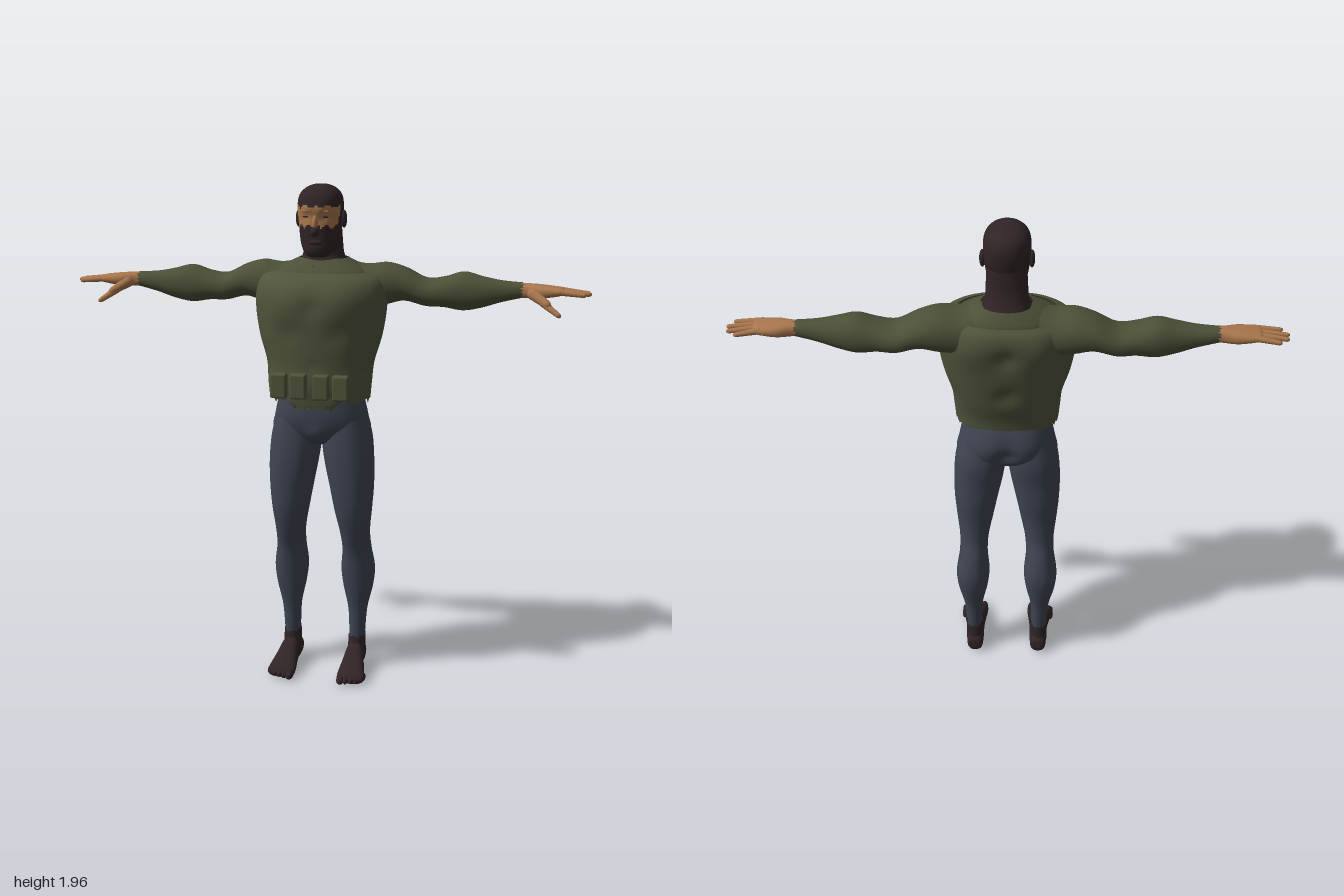
import * as THREE from 'three';
import { RoundedBoxGeometry } from 'three/addons/geometries/RoundedBoxGeometry.js';

const paint = (name, color, side = THREE.FrontSide) => {
  const m = new THREE.MeshStandardMaterial({ color, side });
  m.name = name;
  return m;
};

// Smooth skin through cross-sections [t, uMin, uMax, vMin, vMax] along one axis.
// Axis y: u = x, v = z.  Axis x: u = z, v = y.  Axis z: u = y, v = x.
function loft(axis, rows, { sides = 40, steps = 5, power = 2.2, tornStart = 0, tornEnd = 0 } = {}) {
  const spline = (a, b) => new THREE.CatmullRomCurve3(
    rows.map(r => new THREE.Vector3(r[0], r[a], r[b])), false, 'catmullrom', 0.5);
  const us = spline(1, 2), vs = spline(3, 4);
  const rings = (rows.length - 1) * steps;
  const pos = [], index = [];
  const put = (t, u, v) => pos.push(...({ y: [u, t, v], x: [t, v, u], z: [v, u, t] })[axis]);
  for (let i = 0; i <= rings; i++) {
    const U = us.getPoint(i / rings), V = vs.getPoint(i / rings);
    const torn = i === 0 ? tornStart : i === rings ? tornEnd : 0;
    for (let j = 0; j < sides; j++) {
      const a = j / sides * Math.PI * 2, c = Math.cos(a), s = Math.sin(a);
      const bend = k => Math.sign(k) * Math.abs(k) ** (2 / power);
      put(U.x + torn * (Math.sin(j * 2.4) + 0.6 * Math.sin(j * 5.3)),
        (U.y + U.z) / 2 + (U.z - U.y) / 2 * bend(c),
        (V.y + V.z) / 2 + (V.z - V.y) / 2 * bend(s));
      if (i < rings) {
        const k = (j + 1) % sides, p = i * sides + j, q = i * sides + k;
        index.push(p, p + sides, q, q, p + sides, q + sides);
      }
    }
  }
  const g = new THREE.BufferGeometry();
  g.setAttribute('position', new THREE.Float32BufferAttribute(pos, 3));
  g.setIndex(index);
  g.computeVertexNormals();
  return g;
}

// Rows [y, halfWidth, back, front] for parts centred on x = 0
const sym = rows => rows.map(([y, r, b, f]) => [y, -r, r, b, f]);

// Muscle forms: [x, y, facing, radius, amount] pushed along z, on both sides
function bulge(g, list) {
  const p = g.attributes.position;
  for (let i = 0; i < p.count; i++) {
    let z = p.getZ(i);
    const z0 = z + 0.015;
    for (const [x, y, face, r, amount] of list) {
      const d = ((Math.abs(p.getX(i)) - x) ** 2 + (p.getY(i) - y) ** 2) / (r * r);
      if (z0 * face > 0) z += face * amount * Math.exp(-d) * Math.min(1, Math.abs(z0) / 0.06);
    }
    p.setZ(i, z);
  }
  g.computeVertexNormals();
  return g;
}

function mirrored(g) {
  const m = g.clone().scale(-1, 1, 1), ix = m.index;
  for (let i = 0; i < ix.count; i += 3) {
    const a = ix.getX(i);
    ix.setX(i, ix.getX(i + 1));
    ix.setX(i + 1, a);
  }
  return m;
}

// Split faces into two material groups by the position of their centre
function splitFaces(g, test) {
  const p = g.attributes.position, a = [], b = [], c = new THREE.Vector3(), v = new THREE.Vector3();
  const ix = Array.from(g.index.array);
  for (let i = 0; i < ix.length; i += 6) {
    const quad = ix.slice(i, i + 6);
    c.set(0, 0, 0);
    quad.forEach(k => c.addScaledVector(v.fromBufferAttribute(p, k), 1 / 6));
    (test(c) ? b : a).push(...quad);
  }
  g.setIndex([...a, ...b]);
  g.addGroup(0, a.length, 0);
  g.addGroup(a.length, b.length, 1);
  return g;
}

function ellipsoid(x, y, z, rx, ry, rz) {
  return new THREE.SphereGeometry(1, 20, 14).scale(rx, ry, rz).translate(x, y, z);
}

function digit(from, to, r) {
  const a = new THREE.Vector3(...from), b = new THREE.Vector3(...to), d = b.clone().sub(a);
  const q = new THREE.Quaternion().setFromUnitVectors(new THREE.Vector3(0, 1, 0), d.clone().normalize());
  const g = new THREE.CapsuleGeometry(r, d.length(), 5, 12);
  const p = g.attributes.position;
  for (let i = 0; i < p.count; i++) { // taper to the tip
    const k = 1 - 0.3 * (p.getY(i) / d.length() + 0.5);
    p.setX(i, p.getX(i) * k);
    p.setZ(i, p.getZ(i) * k);
  }
  return g.applyQuaternion(q).translate(...a.add(b).multiplyScalar(0.5).toArray());
}

export function createModel() {
  const root = new THREE.Group();
  root.name = 'maskedFigure';
  const shirt = paint('olive shirt', 0x4c5037, THREE.DoubleSide);
  const vest = paint('olive vest', 0x50543b, THREE.DoubleSide);
  const trousers = paint('slate trousers', 0x3f4552, THREE.DoubleSide);
  const dark = paint('dark knit', 0x302426, THREE.DoubleSide);
  const skin = paint('skin', 0xa9774d);
  const add = (name, g, m) => {
    const mesh = new THREE.Mesh(g, m);
    mesh.name = name;
    root.add(mesh);
  };
  const pair = (name, g, m) => {
    add(name + 'Left', g, m);
    add(name + 'Right', mirrored(g), m);
  };

  // Head: hood with an open band around the eyes
  const head = loft('y', sym([
    [1.695, 0.004, 0.03, 0.05], [1.698, 0.035, 0.0, 0.083], [1.72, 0.056, -0.025, 0.096],
    [1.755, 0.07, -0.06, 0.094], [1.79, 0.076, -0.088, 0.096], [1.83, 0.081, -0.102, 0.097],
    [1.88, 0.084, -0.108, 0.104], [1.92, 0.077, -0.1, 0.094], [1.945, 0.055, -0.075, 0.068],
    [1.957, 0.028, -0.04, 0.035], [1.96, 0.001, -0.003, 0.001]]), { sides: 64, steps: 6 });
  bulge(head, [[0.034, 1.848, 1, 0.018, -0.007], [0.025, 1.872, 1, 0.018, 0.004], [0, 1.74, 1, 0.02, 0.004]]);
  add('head', splitFaces(head, c => c.z > 0.035
    && c.y > 1.81 + 0.006 * Math.sin(c.x * 190) && c.y < 1.882 + 0.006 * Math.sin(c.x * 150 + 1)), [dark, skin]);
  add('noseBridge', ellipsoid(0, 1.825, 0.098, 0.011, 0.028, 0.014), skin);
  add('noseTip', ellipsoid(0, 1.792, 0.105, 0.017, 0.018, 0.024), dark);
  add('mouth', ellipsoid(0, 1.752, 0.092, 0.026, 0.01, 0.009), dark);
  pair('ear', ellipsoid(0.086, 1.832, -0.012, 0.011, 0.033, 0.021), dark);
  pair('eye', ellipsoid(0.034, 1.845, 0.0865, 0.015, 0.0035, 0.004), dark);
  pair('brow', ellipsoid(0.034, 1.866, 0.093, 0.018, 0.004, 0.005), skin);
  add('neck', loft('y', sym([
    [1.648, 0.1, -0.14, 0.05], [1.675, 0.088, -0.135, 0.025], [1.705, 0.077, -0.12, 0.012],
    [1.75, 0.074, -0.106, 0.012], [1.82, 0.07, -0.1, 0.02]]), { tornStart: 0.009 }), dark);

  // Torso
  add('shirtShoulders', loft('y', sym([
    [1.5, 0.19, -0.16, 0.1], [1.57, 0.19, -0.168, 0.1], [1.63, 0.185, -0.168, 0.08],
    [1.662, 0.14, -0.152, 0.045], [1.685, 0.093, -0.135, 0.015]])), shirt);
  const vestShell = loft('y', sym([
    [1.16, 0.195, -0.125, 0.145], [1.22, 0.2, -0.135, 0.157], [1.3, 0.207, -0.16, 0.157],
    [1.4, 0.235, -0.178, 0.163], [1.5, 0.25, -0.19, 0.165], [1.57, 0.248, -0.195, 0.158],
    [1.615, 0.23, -0.188, 0.13], [1.638, 0.19, -0.168, 0.082]]),
  { sides: 72, steps: 6, tornStart: 0.009 });
  bulge(vestShell, [[0.1, 1.53, 1, 0.08, 0.014], [0, 1.52, 1, 0.03, -0.005], [0.09, 1.42, 1, 0.04, -0.006],
    [0, 1.3, 1, 0.02, -0.004], [0.13, 1.55, -1, 0.08, 0.013], [0, 1.52, -1, 0.04, -0.014], [0, 1.35, -1, 0.04, -0.012]]);
  add('vest', vestShell, vest);
  add('vestHemFlap', loft('y', sym([
    [1.135, 0.07, 0.12, 0.142], [1.16, 0.1, 0.11, 0.146], [1.2, 0.11, 0.1, 0.15]]),
  { tornStart: 0.006, steps: 3 }), vest);
  [-0.117, -0.043, 0.043, 0.117].forEach((x, i) => {
    add('pouch' + (i + 1), new RoundedBoxGeometry(0.06, 0.094, 0.036, 3, 0.008).translate(x, 1.233, 0.192), vest);
  });

  // Arms
  pair('sleeve', loft('x', [
    [0.06, -0.15, 0.01, 1.5, 1.685], [0.16, -0.165, 0.025, 1.5, 1.662], [0.24, -0.172, 0.015, 1.51, 1.668],
    [0.31, -0.17, 0.0, 1.525, 1.65], [0.39, -0.165, -0.01, 1.507, 1.613], [0.46, -0.155, -0.012, 1.505, 1.62],
    [0.53, -0.15, -0.015, 1.495, 1.64], [0.6, -0.135, -0.022, 1.508, 1.625], [0.67, -0.12, -0.035, 1.53, 1.612],
    [0.75, -0.108, -0.047, 1.55, 1.606]], { tornEnd: 0.006 }), shirt);

  // Hands
  pair('palm', loft('x', [
    [0.71, -0.105, -0.048, 1.55, 1.604], [0.76, -0.106, -0.046, 1.55, 1.604], [0.81, -0.118, -0.027, 1.549, 1.602],
    [0.86, -0.12, -0.022, 1.557, 1.597], [0.895, -0.112, -0.026, 1.565, 1.592], [0.905, -0.075, -0.06, 1.575, 1.582]],
  { sides: 28, power: 2.5 }), skin);
  [[-0.105, 0.955, -0.118], [-0.082, 0.985, -0.094], [-0.058, 0.989, -0.064], [-0.036, 0.97, -0.03]]
    .forEach(([z, x, tipZ], i) => pair('finger' + (i + 1),
      digit([0.875, 1.58, z], [x, 1.571, tipZ], 0.0125), skin));
  pair('thumbBase', digit([0.79, 1.568, -0.045], [0.84, 1.537, -0.014], 0.022), skin);
  pair('thumb', digit([0.83, 1.538, -0.018], [0.883, 1.502, 0.006], 0.014), skin);

  // Trousers
  const pelvis = loft('y', sym([
    [1.2, 0.16, -0.115, 0.09], [1.15, 0.168, -0.132, 0.1], [1.08, 0.183, -0.14, 0.1],
    [1.02, 0.19, -0.13, 0.08], [0.98, 0.12, -0.09, 0.05], [0.965, 0.01, -0.02, 0.0]]
    .reverse()), { sides: 56 });
  add('trouserSeat', bulge(pelvis, [[0.08, 1.09, -1, 0.065, 0.014], [0, 1.05, -1, 0.03, -0.02],
    [0, 1.02, 1, 0.035, 0.014]]), trousers);
  pair('trouserLeg', loft('y', [
    [0.13, 0.105, 0.167, -0.126, -0.043], [0.25, 0.1, 0.176, -0.135, -0.035], [0.35, 0.08, 0.198, -0.155, -0.018],
    [0.43, 0.071, 0.205, -0.165, -0.004], [0.52, 0.078, 0.192, -0.15, 0.012], [0.6, 0.073, 0.19, -0.126, 0.04],
    [0.7, 0.053, 0.2, -0.121, 0.068], [0.8, 0.034, 0.207, -0.13, 0.08], [0.9, 0.014, 0.207, -0.132, 0.085],
    [1.0, 0.002, 0.198, -0.138, 0.082], [1.09, 0.012, 0.175, -0.125, 0.075]]), trousers);

  // Feet
  pair('ankle', loft('y', [
    [0.04, 0.098, 0.172, -0.138, -0.02], [0.09, 0.1, 0.171, -0.133, -0.032], [0.138, 0.102, 0.17, -0.129, -0.04]],
  { tornEnd: 0.006 }), dark);
  pair('foot', loft('z', [
    [-0.147, 0.035, 0.045, 0.13, 0.138], [-0.14, 0.01, 0.075, 0.105, 0.163], [-0.1, 0, 0.1, 0.099, 0.17],
    [-0.04, 0.002, 0.112, 0.098, 0.173], [0.02, 0.003, 0.083, 0.093, 0.184], [0.07, 0, 0.058, 0.088, 0.195],
    [0.105, 0, 0.042, 0.09, 0.197], [0.12, 0.01, 0.025, 0.12, 0.17]], { power: 2.4 }), dark);
  for (let i = 0; i < 5; i++) {
    pair('toe' + (i + 1), ellipsoid(0.105 + i * 0.021, 0.017, 0.113 - i * i * 0.0025,
      i ? 0.011 : 0.016, i ? 0.014 : 0.017, 0.028), dark);
  }
  return root;
}
